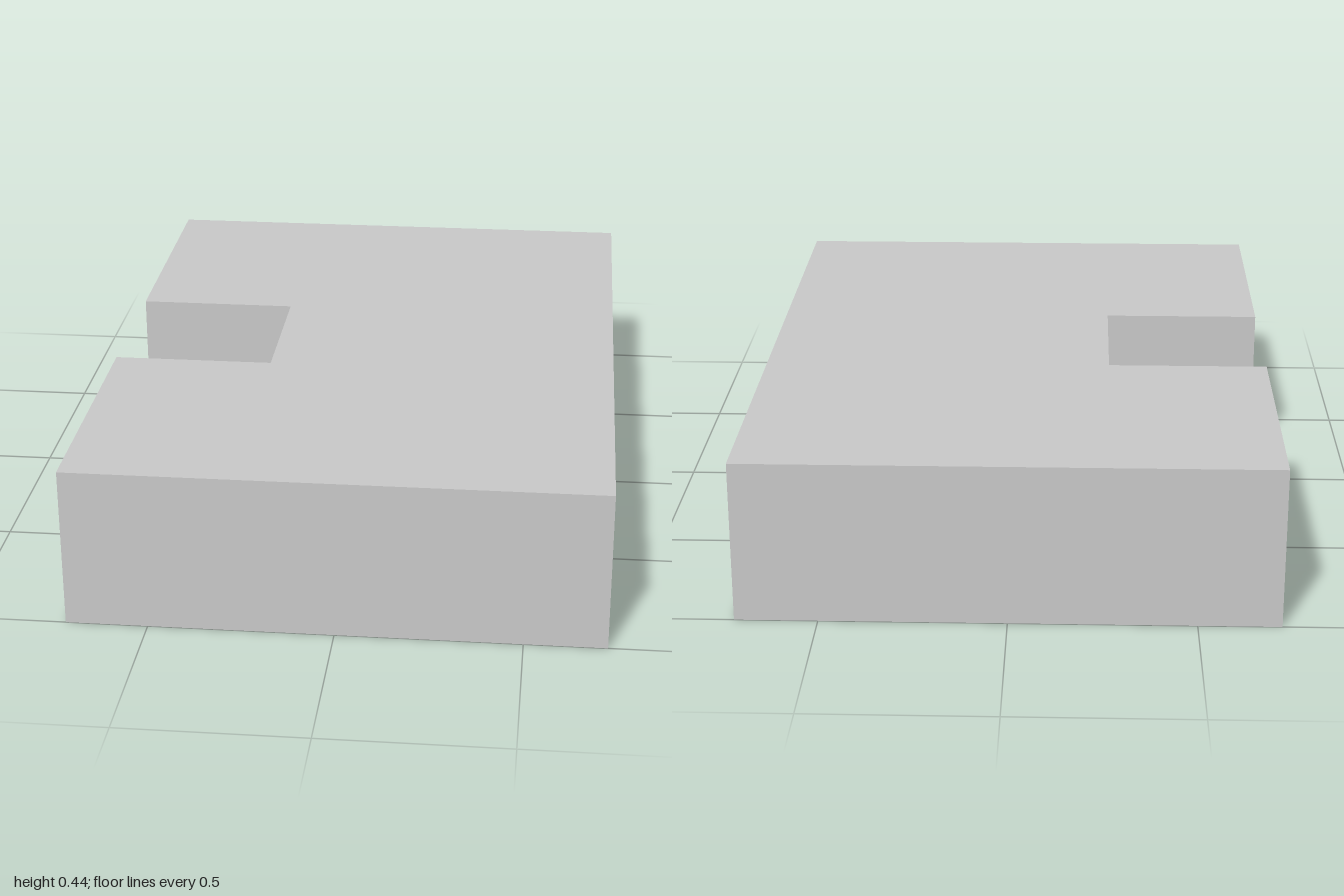
import * as THREE from 'three';

const HALF_WIDTH = 0.722, HALF_LENGTH = 1, HEIGHT = 0.445;
const NOTCH_X = -0.268, NOTCH_HALF = 0.225;

export function createModel() {
  const group = new THREE.Group();
  group.name = 'notchedBlock';

  // Plan outline: rectangle with a square notch in the -x side
  const outline = new THREE.Shape([
    [-HALF_WIDTH, -HALF_LENGTH],
    [HALF_WIDTH, -HALF_LENGTH],
    [HALF_WIDTH, HALF_LENGTH],
    [-HALF_WIDTH, HALF_LENGTH],
    [-HALF_WIDTH, NOTCH_HALF],
    [NOTCH_X, NOTCH_HALF],
    [NOTCH_X, -NOTCH_HALF],
    [-HALF_WIDTH, -NOTCH_HALF],
  ].map(([x, y]) => new THREE.Vector2(x, y)));

  // Extrude upwards from the ground
  const geometry = new THREE.ExtrudeGeometry(outline, { depth: HEIGHT, bevelEnabled: false });
  geometry.rotateX(-Math.PI / 2);

  const block = new THREE.Mesh(
    geometry,
    new THREE.MeshStandardMaterial({ color: 0xcccccc, flatShading: true })
  );
  block.name = 'block';
  group.add(block);
  return group;
}
